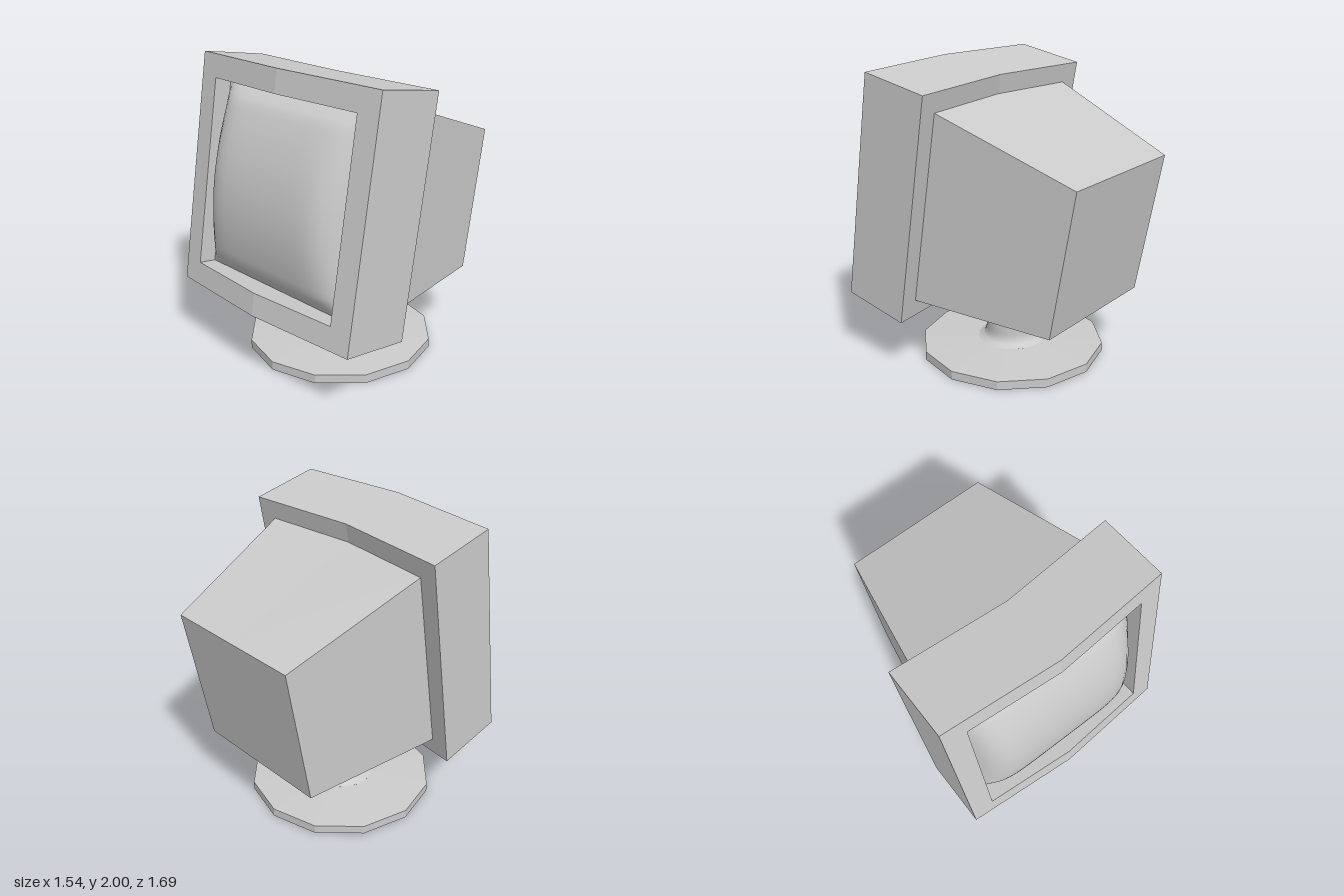
import * as THREE from 'three';

const flat = new THREE.MeshStandardMaterial({ color: 0xcccccc, flatShading: true });
const flatDouble = new THREE.MeshStandardMaterial({ color: 0xcccccc, flatShading: true, side: THREE.DoubleSide });
const smooth = new THREE.MeshStandardMaterial({ color: 0xcccccc, side: THREE.DoubleSide });

const HALF_W = 0.77, HEIGHT = 1.54, DEPTH = 0.485, BOW = 0.062;
const OPEN_X = 0.62, OPEN_LOW = 0.15, OPEN_HIGH = 1.39;

// Forward shift of the shallow V the casing follows
const bow = (x) => BOW * (1 - Math.abs(x) / HALF_W);

function part(name, geometry, material) {
  const mesh = new THREE.Mesh(geometry, material);
  mesh.name = name;
  return mesh;
}

// Move every vertex of a geometry by a rule
function reshape(geometry, rule) {
  const p = geometry.attributes.position;
  const v = new THREE.Vector3();
  for (let i = 0; i < p.count; i++) {
    rule(v.fromBufferAttribute(p, i));
    p.setXYZ(i, v.x, v.y, v.z);
  }
  geometry.computeVertexNormals();
  return geometry;
}

function lathe(points, sides) {
  return new THREE.LatheGeometry(points.map(([r, y]) => new THREE.Vector2(r, y)), sides);
}

// One C-shaped half of the front frame; side is +1 or -1
function frameHalf(side) {
  const outline = [
    [0, 0], [HALF_W, 0], [HALF_W, HEIGHT], [0, HEIGHT],
    [0, OPEN_HIGH], [OPEN_X, OPEN_HIGH], [OPEN_X, OPEN_LOW], [0, OPEN_LOW],
  ];
  const shape = new THREE.Shape(outline.map(([x, y]) => new THREE.Vector2(side * x, y)));
  const geometry = new THREE.ExtrudeGeometry(shape, { depth: DEPTH, bevelEnabled: false });
  return reshape(geometry, (v) => { v.z += bow(v.x); });
}

// Tapered rear housing, its front edge following the V of the frame
function housing() {
  return reshape(new THREE.BoxGeometry(2, 1, 1, 2, 1, 1), (v) => {
    const front = v.z > 0, top = v.y > 0;
    v.x *= front ? 0.645 : 0.49;
    v.y = top ? (front ? 1.41 : 1.235) : (front ? 0.12 : 0.255);
    v.z = front ? bow(v.x) : -0.95;
  });
}

// Bulging glass, set back into the opening at its rim
function glass() {
  const h = OPEN_HIGH - OPEN_LOW;
  const geometry = new THREE.PlaneGeometry(2 * OPEN_X, h, 32, 32);
  return reshape(geometry, (v) => {
    const d = Math.abs(v.y);
    const across = 1 - Math.pow(Math.abs(v.x) / OPEN_X, 7);
    const up = d < 0.53 ? 1 - 1.8 * d * d : 0.494 * (0.62 - d) / 0.09;
    v.z = 0.375 + 0.205 * across * Math.max(up, 0);
    v.y += OPEN_LOW + h / 2;
  });
}

export function createModel() {
  const model = new THREE.Group();
  model.name = 'monitor';

  // Head, leaning back
  const head = new THREE.Group();
  head.name = 'head';
  head.position.set(0, 0.39, 0.31);
  head.rotation.x = -THREE.MathUtils.degToRad(10);
  head.add(
    part('frameLeft', frameHalf(1), flat),
    part('frameRight', frameHalf(-1), flat),
    part('housing', housing(), flat),
    part('screen', glass(), smooth),
  );

  // Stand
  const stand = new THREE.Group();
  stand.name = 'stand';
  stand.position.set(-0.033, 0, 0.035);
  const plate = [[0.21, 0], [0.633, 0], [0.633, 0.06], [0.235, 0.083]];
  const stem = [[0.21, 0], [0.235, 0.083], [0.2, 0.1], [0.185, 0.125], [0.18, 0.16], [0.18, 0.46]];
  const collar = [[0, 0.452], [0.325, 0.452], [0.325, 0.49], [0, 0.51]];
  stand.add(
    part('basePlate', lathe(plate, 12), flatDouble),
    part('stem', lathe(stem.slice(1), 24), smooth),
    part('stemSocket', lathe(stem.slice(0, 2), 24), smooth),
    part('collar', lathe(collar, 12), flatDouble),
  );

  model.add(head, stand);
  return model;
}
